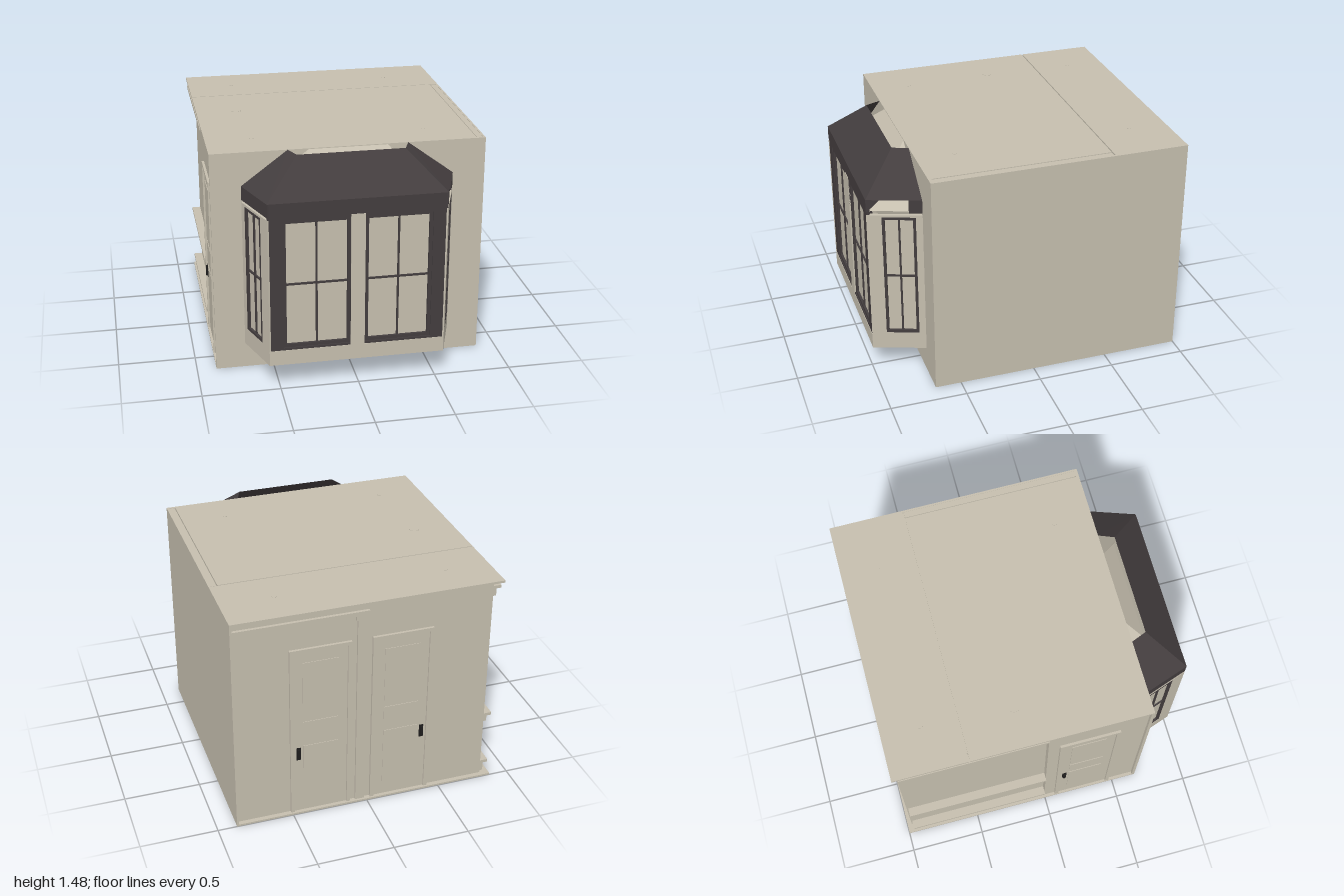
import * as THREE from 'three';

const mat = (name, color, side = THREE.FrontSide) => {
  const m = new THREE.MeshStandardMaterial({ color, side });
  m.name = name;
  return m;
};

export function createModel() {
  const plaster = mat('plaster', 0xc5beae, THREE.DoubleSide);
  const darkWood = mat('dark wood', 0x433d3e, THREE.DoubleSide);
  const black = mat('black metal', 0x1e1d1d);

  const add = (parent, name, geo, material) => {
    const m = new THREE.Mesh(geo, material);
    m.name = name;
    parent.add(m);
    return m;
  };
  // Box given by its lower and upper bounds
  const box = (parent, name, [x0, x1], [y0, y1], [z0, z1], material = plaster) => {
    const m = add(parent, name, new THREE.BoxGeometry(x1 - x0, y1 - y0, z1 - z0), material);
    m.position.set((x0 + x1) / 2, (y0 + y1) / 2, (z0 + z1) / 2);
    return m;
  };
  const group = (parent, name, x = 0, y = 0, z = 0, ry = 0) => {
    const g = new THREE.Group();
    g.name = name;
    g.position.set(x, y, z);
    g.rotation.y = ry;
    parent.add(g);
    return g;
  };
  const rect = (T, x0, x1, y0, y1) => new T([[x0, y0], [x1, y0], [x1, y1], [x0, y1]].map(p => new THREE.Vector2(...p)));
  // Flat panel with rectangular openings, front face at z = depth
  const panel = (parent, name, outer, holes, depth, material) => {
    const s = rect(THREE.Shape, ...outer);
    holes.forEach(h => s.holes.push(rect(THREE.Path, ...h)));
    return add(parent, name, new THREE.ExtrudeGeometry(s, { depth, bevelEnabled: false }), material);
  };
  // Surface made of four-cornered faces
  const quads = (parent, name, faces, material) => {
    const pos = faces.flatMap(([a, b, c, d]) => [a, b, c, a, c, d].flat());
    const g = new THREE.BufferGeometry();
    g.setAttribute('position', new THREE.Float32BufferAttribute(pos, 3));
    g.computeVertexNormals();
    return add(parent, name, g, material);
  };

  const model = new THREE.Group();
  model.name = 'room';

  // Room shell
  const shell = group(model, 'shell');
  box(shell, 'floor', [-0.875, 0.875], [0, 0.012], [-1, 0.67]);
  box(shell, 'core', [-0.815, 0.865], [0.012, 1.465], [-0.97, 0.655]);
  box(shell, 'frontWall', [-0.875, 0.865], [0.012, 1.48], [0.65, 0.67]);
  box(shell, 'leftWall', [0.862, 0.875], [0.012, 1.48], [-1, 0.67]);
  box(shell, 'rearRoof', [-0.875, 0.862], [1.465, 1.48], [-1, -0.515]);
  box(shell, 'frontRoof', [-0.875, 0.818], [1.465, 1.48], [-0.508, 0.65]);
  box(shell, 'roofEdgeStrip', [0.823, 0.862], [1.465, 1.478], [-0.508, 0.65]);
  box(shell, 'rightWallBay', [-0.855, -0.815], [0.012, 1.465], [0, 0.65]);

  // Rails along the rear half of the right wall
  [[0.02, 0.1], [0.42, 0.48], [1.36, 1.43]].forEach(([y0, y1]) => {
    box(shell, 'wallRail', [-0.84, -0.815], [y0, y1], [-0.96, 0]);
    box(shell, 'railLip', [-0.872, -0.815], [y1 - 0.02, y1], [-0.96, 0]);
  });
  // Back wall post and cornice
  box(shell, 'backPost', [0.015, 0.075], [0.012, 1.4], [-0.985, -0.97]);
  box(shell, 'backCornice', [0.0, 0.86], [1.39, 1.42], [-0.99, -0.97]);
  box(shell, 'backPostCap', [0.005, 0.085], [1.36, 1.39], [-0.99, -0.97]);

  // Roof fittings
  for (const x of [-0.58, 0.53]) for (const z of [-0.75, 0.42])
    add(shell, 'roofStud', new THREE.CylinderGeometry(0.015, 0.015, 0.004, 16), plaster).position.set(x, 1.48, z);
  add(shell, 'roofRing', new THREE.CylinderGeometry(0.034, 0.034, 0.004, 24), plaster).position.set(-0.61, 1.48, -0.16);

  // Panelled doors
  const door = (x, z, ry, handleX) => {
    const d = group(model, 'door', x, 0.012, z, ry);
    const w = 0.2, h = 1.21;
    box(d, 'leaf', [-w + 0.025, w - 0.025], [0, h - 0.025], [0, 0.006]);
    box(d, 'jamb', [-w, -w + 0.025], [0, h], [0, 0.018]);
    box(d, 'jamb', [w - 0.025, w], [0, h], [0, 0.018]);
    box(d, 'lintel', [-w, w], [h - 0.025, h], [0, 0.018]);
    [[0.1, 0.5], [0.55, 0.68], [0.73, 1.11]].forEach(([a, b]) =>
      box(d, 'doorPanel', [-0.115, 0.115], [a, b], [0.006, 0.01]));
    box(d, 'handlePlate', [handleX - 0.014, handleX + 0.014], [0.4, 0.49], [0.006, 0.011], black);
    box(d, 'handleGrip', [handleX - 0.008, handleX + 0.008], [0.41, 0.48], [0.011, 0.022], black);
  };
  door(0.31, -0.97, Math.PI, -0.145);
  door(-0.225, -0.97, Math.PI, 0.145);
  door(-0.855 + 0.002, 0.275, -Math.PI / 2, -0.145);

  // Bay window
  const bay = group(model, 'bayWindow', -0.008);
  const sill = new THREE.Shape([[-0.675, -0.67], [-0.56, -1], [0.56, -1], [0.675, -0.67]].map(p => new THREE.Vector2(...p)));
  const sillMesh = add(bay, 'bayBase', new THREE.ExtrudeGeometry(sill, { depth: 0.1, bevelEnabled: false }), plaster);
  sillMesh.rotation.x = -Math.PI / 2;
  sillMesh.position.y = 0.17;

  // Window sash: frame, glazing bars and pane, front of frame at z = 0
  const sash = (parent, x0, x1, y0, y1, f) => {
    const s = group(parent, 'sash', 0, 0, -0.02);
    const xm = (x0 + x1) / 2, ym = 0.715, b = 0.006;
    panel(s, 'sashFrame', [x0, x1, y0, y1], [[x0 + f, x1 - f, y0 + f, y1 - f]], 0.02, darkWood);
    box(s, 'pane', [x0 + f, x1 - f], [y0 + f, y1 - f], [0, 0.004]);
    box(s, 'uprightBar', [xm - b, xm + b], [y0 + f, y1 - f], [0.004, 0.014], darkWood);
    box(s, 'crossBar', [x0 + f, x1 - f], [ym - b, ym + b], [0.004, 0.014], darkWood);
  };

  // Front of the bay
  const front = group(bay, 'bayFront', 0, 0, 0.975);
  panel(front, 'frontPanel', [-0.56, 0.56, 0.27, 1.26],
    [[-0.47, -0.045, 0.285, 1.145], [0.045, 0.47, 0.285, 1.145]], 0.022, darkWood);
  box(front, 'centrePost', [-0.045, 0.045], [0.27, 1.16], [0, 0.025]);
  for (const c of [-0.2575, 0.2575]) {
    const g = group(front, 'frontWindow', 0, 0, 0.015);
    sash(g, c - 0.2125, c + 0.2125, 0.285, 1.145, 0.022);
  }

  // Angled sides, mirrored
  const angle = Math.atan2(0.33, 0.115);
  for (const side of [1, -1]) {
    const half = group(bay, side > 0 ? 'leftBaySide' : 'rightBaySide');
    half.scale.x = side;
    const s = group(half, 'sideWall', 0.6175, 0, 0.835, angle);
    const wall = panel(s, 'sidePanel', [-0.175, 0.175, 0.27, 1.155], [[-0.08, 0.132, 0.29, 1.14]], 0.02, plaster);
    wall.position.z = -0.02;
    sash(s, -0.08, 0.132, 0.29, 1.14, 0.018);
    // Fascia below the eaves; one side is left partly open
    if (side < 0) box(s, 'fascia', [-0.175, 0.175], [1.17, 1.26], [-0.015, 0], darkWood);
    else {
      box(s, 'fascia', [0.09, 0.175], [1.17, 1.26], [-0.015, 0], darkWood);
      const tri = new THREE.Shape([[-0.175, 1.17], [-0.09, 1.26], [-0.175, 1.26]].map(p => new THREE.Vector2(...p)));
      add(s, 'fasciaCorner', new THREE.ExtrudeGeometry(tri, { depth: 0.01, bevelEnabled: false }), darkWood).position.z = -0.01;
    }
    // Sloping roof and ceiling at the side
    quads(half, 'sideRoof', [[[0.56, 1.26, 1], [0.675, 1.26, 0.67], [0.38, 1.48, 0.67], [0.34, 1.48, 0.77]]], darkWood);
    quads(half, 'sideCeiling', [[[0.54, 1.17, 0.97], [0.65, 1.17, 0.67], [0.25, 1.475, 0.67], [0.34, 1.38, 0.77]]], plaster);
  }
  quads(bay, 'frontRoof', [[[-0.56, 1.26, 1], [0.56, 1.26, 1], [0.34, 1.48, 0.77], [-0.34, 1.48, 0.77]]], darkWood);
  quads(bay, 'frontCeiling', [[[-0.54, 1.17, 0.97], [0.54, 1.17, 0.97], [0.34, 1.38, 0.77], [-0.34, 1.38, 0.77]],
    [[-0.34, 1.38, 0.77], [0.34, 1.38, 0.77], [0.25, 1.475, 0.67], [-0.25, 1.475, 0.67]]], plaster);

  return model;
}
